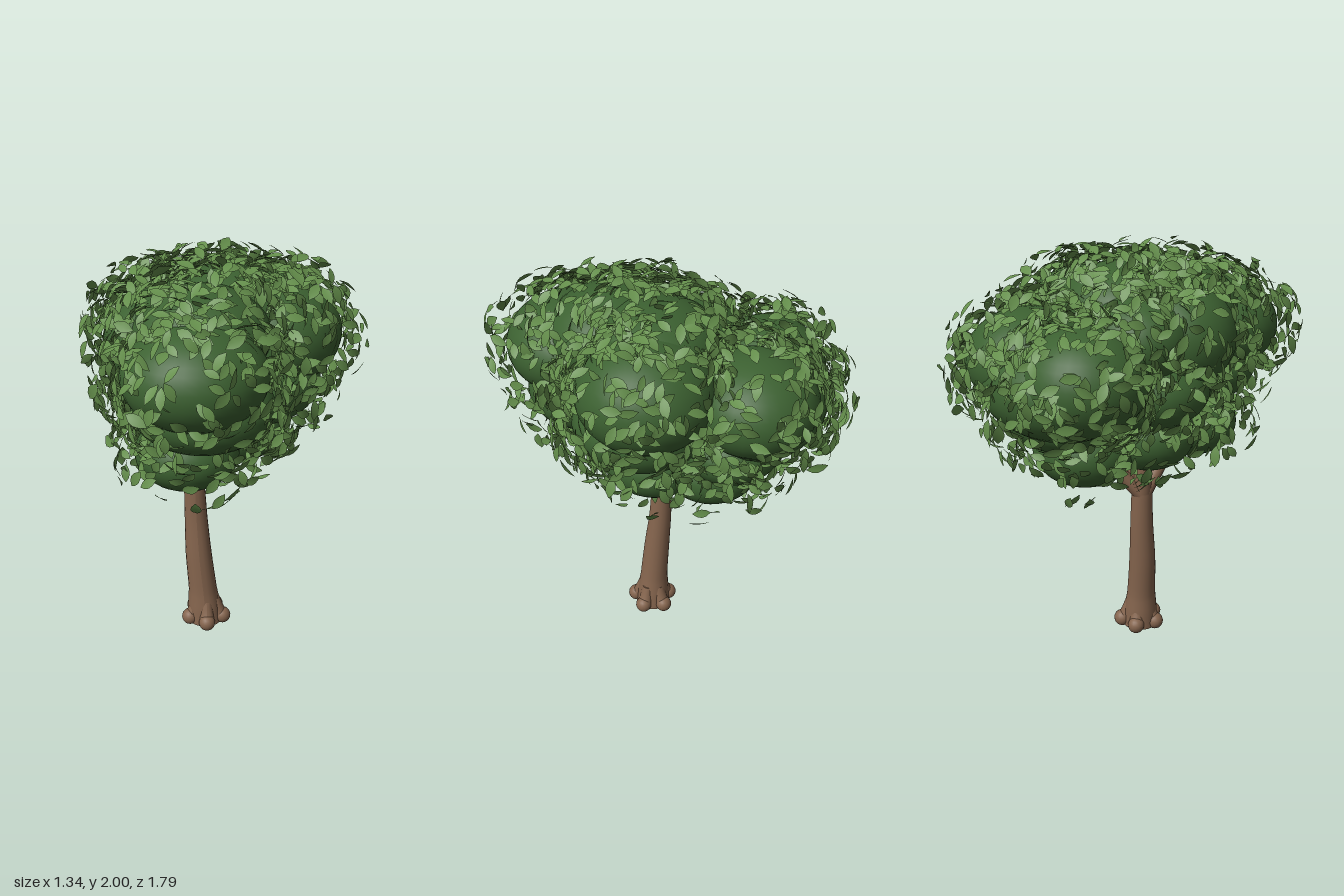
import * as THREE from 'three';
import { mergeGeometries } from 'three/addons/utils/BufferGeometryUtils.js';

const bark = new THREE.MeshStandardMaterial({ color: 0x84644d });
bark.name = 'bark brown';
const foliage = new THREE.MeshStandardMaterial({ color: 0x3c6131 });
foliage.name = 'foliage dark green';
const leafGreen = new THREE.MeshStandardMaterial({ color: 0x648e4b, side: THREE.DoubleSide });
leafGreen.name = 'leaf green';

// Foliage clumps: centre x, y, z and radii x, y, z
const clumps = [
  [-0.14, 1.56, 0.48, 0.32, 0.23, 0.3],
  [-0.1, 1.66, 0.26, 0.31, 0.22, 0.3],
  [-0.25, 1.58, 0.12, 0.28, 0.25, 0.27],
  [0.02, 1.68, 0.02, 0.34, 0.21, 0.3],
  [0.25, 1.58, 0.0, 0.32, 0.26, 0.32],
  [-0.22, 1.6, -0.1, 0.25, 0.2, 0.24],
  [0.1, 1.51, -0.46, 0.3, 0.23, 0.29],
  [-0.26, 1.48, -0.45, 0.28, 0.24, 0.28],
  [-0.08, 1.42, -0.46, 0.4, 0.23, 0.31],
  [-0.1, 1.37, 0.38, 0.32, 0.19, 0.29],
  [-0.16, 1.35, -0.02, 0.34, 0.2, 0.3],
  [0.16, 1.37, 0.05, 0.31, 0.21, 0.32],
  [0.02, 1.25, -0.35, 0.3, 0.18, 0.26],
  [-0.17, 1.11, 0.29, 0.24, 0.17, 0.23],
  [-0.16, 1.11, 0.02, 0.24, 0.18, 0.22],
  [-0.02, 1.06, -0.25, 0.25, 0.18, 0.24],
  [0.08, 1.12, 0.01, 0.24, 0.18, 0.25],
];

// Small seeded generator
function seeded(seed) {
  return () => {
    seed = (seed * 1664525 + 1013904223) % 4294967296;
    return seed / 4294967296;
  };
}

function mesh(geometry, material, name) {
  const m = new THREE.Mesh(geometry, material);
  m.name = name;
  return m;
}

// Round limb following [x, y, z, radius] stations, lowest first
function limb(stations) {
  const n = stations.length - 1;
  const curve = new THREE.CatmullRomCurve3(stations.map((s) => new THREE.Vector3(s[0], s[1], s[2])));
  const g = new THREE.CylinderGeometry(1, 1, 1, 20, n * 4);
  const p = g.attributes.position;
  for (let i = 0; i < p.count; i++) {
    const t = THREE.MathUtils.clamp(p.getY(i) + 0.5, 0, 1);
    const k = Math.min(Math.floor(t * n), n - 1);
    const r = THREE.MathUtils.lerp(stations[k][3], stations[k + 1][3], t * n - k);
    const c = curve.getPoint(t);
    p.setXYZ(i, c.x + p.getX(i) * r, c.y, c.z + p.getZ(i) * r);
  }
  g.computeVertexNormals();
  return g;
}

// Pointed leaf, slightly folded along its midrib and drooping at the ends
function leafBlade() {
  const g = new THREE.PlaneGeometry(1, 1, 2, 4);
  const p = g.attributes.position;
  const widths = [0.04, 0.4, 0.5, 0.36, 0.01];
  for (let i = 0; i < p.count; i++) {
    const side = p.getX(i) * 2;
    const t = p.getY(i);
    const w = widths[Math.round((t + 0.5) * 4)] * 0.5;
    p.setXYZ(i, side * w, t, Math.abs(side) * w * 0.12 - t * t * 0.2);
  }
  g.computeVertexNormals();
  return g;
}

// True where a point lies within a clump other than the given one
function buried(pos, own) {
  return clumps.some((c, i) => i !== own
    && ((pos.x - c[0]) / c[3]) ** 2 + ((pos.y - c[1]) / c[4]) ** 2 + ((pos.z - c[2]) / c[5]) ** 2 < 1);
}

// Leaves scattered just outside the clumps, thickest on the upper side
function scatterLeaves(total) {
  const rand = seeded(17);
  const spread = (s) => (rand() - 0.5) * 2 * s;
  const blade = leafBlade();
  const leaves = [];
  const m = new THREE.Matrix4();
  for (let tries = 0; leaves.length < total && tries < 90000; tries++) {
    const k = Math.floor(rand() * clumps.length);
    const c = clumps[k];
    // Larger clumps carry more leaves
    if (rand() > (c[3] * c[5]) / 0.125) continue;
    const ny = spread(1);
    const a = rand() * Math.PI * 2;
    const h = Math.sqrt(1 - ny * ny);
    const dir = new THREE.Vector3(Math.cos(a) * h, ny, Math.sin(a) * h);
    if (rand() > 0.5 + 0.45 * ny) continue;
    const lift = 0.02 + 0.11 * rand();
    const pos = new THREE.Vector3(
      c[0] + dir.x * (c[3] + lift), c[1] + dir.y * (c[4] + lift * 0.8), c[2] + dir.z * (c[5] + lift));
    if (buried(pos, k)) continue;
    // Blade faces outward with some wobble and points a little downward
    const out = dir.clone().add(new THREE.Vector3(spread(0.55), spread(0.55), spread(0.55))).normalize();
    const along = new THREE.Vector3(spread(1), spread(1) - 0.3, spread(1));
    const across = along.cross(out).normalize();
    const tip = new THREE.Vector3().crossVectors(out, across);
    m.makeBasis(across, tip, out);
    const size = 0.075 + 0.03 * rand();
    m.scale(new THREE.Vector3(size, size, size)).setPosition(pos);
    leaves.push(blade.clone().applyMatrix4(m));
  }
  return mergeGeometries(leaves);
}

export function createModel() {
  const tree = new THREE.Group();
  tree.name = 'tree';

  // Leaning trunk with a flared foot
  tree.add(mesh(limb([
    [-0.08, 0.015, 0.065, 0.09],
    [-0.085, 0.1, 0.063, 0.084],
    [-0.092, 0.2, 0.06, 0.072],
    [-0.11, 0.4, 0.048, 0.066],
    [-0.12, 0.6, 0.032, 0.057],
    [-0.126, 0.79, 0.025, 0.051],
  ]), bark, 'trunk'));

  // Rounded root knobs, each merging into the foot by a short ridge
  const roots = new THREE.Group();
  roots.name = 'roots';
  for (let i = 0; i < 5; i++) {
    const a = (i / 5) * Math.PI * 2 + Math.PI / 2;
    const x = Math.cos(a) * 0.088;
    const z = Math.sin(a) * 0.092;
    const root = new THREE.Group();
    root.name = 'root';
    root.position.set(-0.077, 0, 0.065);
    const knob = mesh(new THREE.SphereGeometry(0.042, 16, 12), bark, 'rootKnob');
    knob.position.set(x, 0.043, z);
    const ridge = limb([
      [x * 0.95, 0.045, z * 0.95, 0.038],
      [x * 0.72, 0.085, z * 0.72, 0.034],
      [x * 0.5, 0.15, z * 0.5, 0.028],
    ]);
    root.add(knob, mesh(ridge, bark, 'rootRidge'));
    roots.add(root);
  }
  tree.add(roots);

  // Forking branches
  const branches = new THREE.Group();
  branches.name = 'branches';
  for (const [x, y, z] of [[-0.17, 1.05, 0.21], [0.02, 1.05, -0.19], [-0.03, 1.05, 0.02], [-0.16, 1.05, 0.01]]) {
    branches.add(mesh(limb([
      [-0.126, 0.77, 0.025, 0.05],
      [(x - 0.126) / 2, (y + 0.77) / 2, (z + 0.025) / 2, 0.042],
      [x, y, z, 0.036],
    ]), bark, 'branch'));
  }
  tree.add(branches);

  // Rounded foliage clumps
  const crown = new THREE.Group();
  crown.name = 'crown';
  for (const [x, y, z, rx, ry, rz] of clumps) {
    const clump = mesh(new THREE.SphereGeometry(1, 32, 20), foliage, 'foliageClump');
    clump.position.set(x, y, z);
    clump.scale.set(rx, ry, rz);
    crown.add(clump);
  }
  tree.add(crown);

  tree.add(mesh(scatterLeaves(2000), leafGreen, 'leaves'));
  return tree;
}
